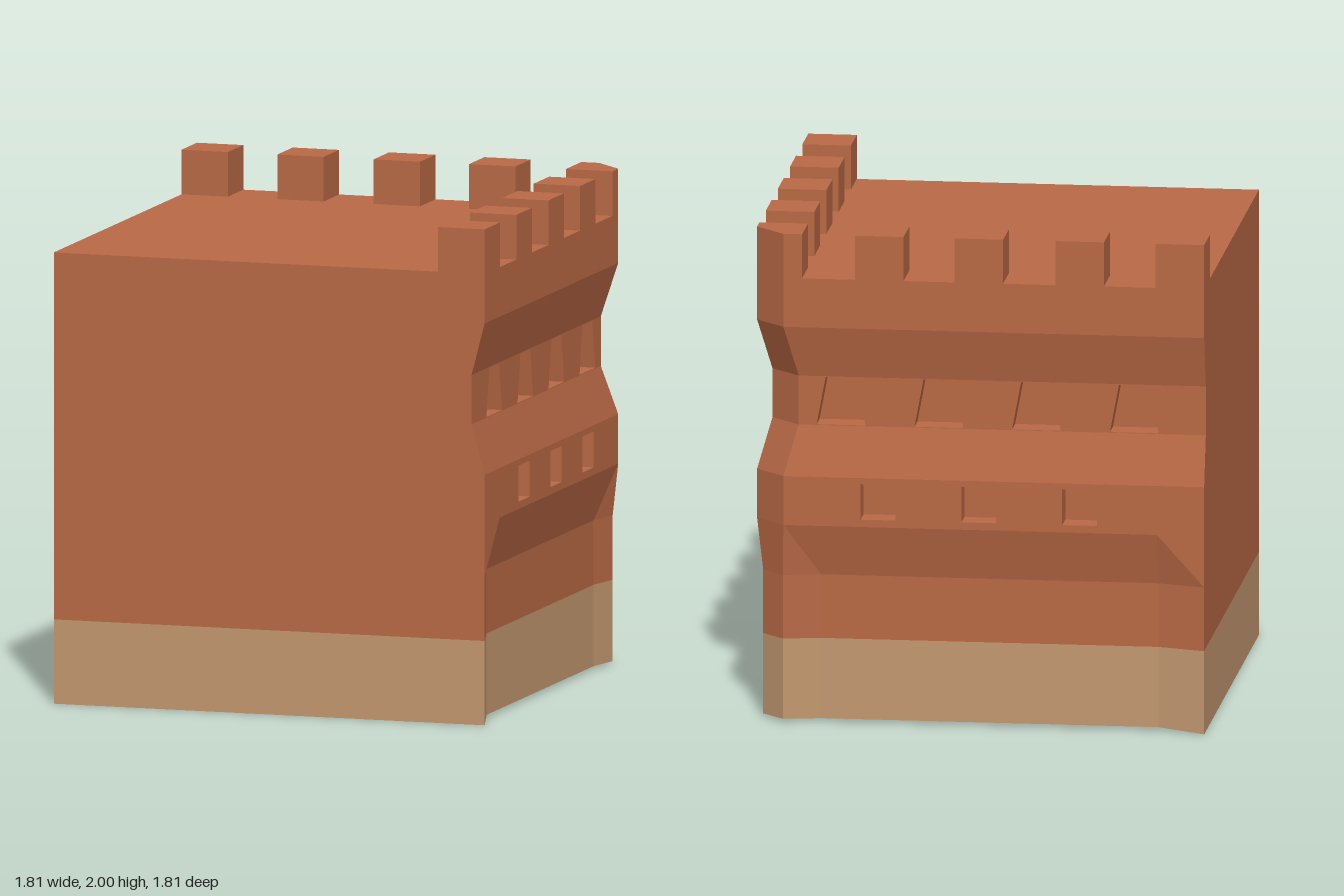
import * as THREE from 'three';

const E = 0.905;      // half width of the block
const DECK = 1.82;    // height of the roof deck
const WINDOW_DEPTH = 0.1;

// Wall cross-sections: depth of middle, depth of free end, end of middle, chamfer position, chamfer depth
const ROWS = [
  { y: 0, mid: 0.85, end: E, uMid: 0.64, uCh: 0.79, dCh: 0.88, lift: 0.012 },
  { y: 0.34, mid: 0.85, end: E, uMid: 0.64, uCh: 0.79, dCh: 0.88 },
  { y: 0.6, mid: 0.85, end: E, uMid: 0.64, uCh: 0.79, dCh: 0.88 },
  { y: 0.81, mid: E, end: E, uMid: 0.7, uCh: 0.785, dCh: E },
  { y: 1.01, mid: E, end: E, uMid: 0.7, uCh: 0.785, dCh: E },
  { y: 1.21, mid: 0.85, end: 0.85, uMid: 0.65, uCh: 0.73, dCh: 0.85 },
  { y: 1.41, mid: 0.85, end: 0.85, uMid: 0.65, uCh: 0.73, dCh: 0.85 },
  { y: 1.62, mid: E, end: E, uMid: 0.7, uCh: 0.785, dCh: E },
  { y: DECK, mid: E, end: E, uMid: 0.7, uCh: 0.785, dCh: E },
];

// Points of one cross-section, from the free end to the chamfer, as [u, y, depth]
const section = (r) => {
  const y = r.y + (r.lift || 0);
  return [[-E, r.y, r.end], [-0.715, y, r.mid], [r.uMid, y, r.mid], [r.uCh, y, r.dCh]];
};

// The two decorated walls mirror each other across the diagonal
const SIDES = [
  { name: 'right', map: ([u, y, d]) => [d, y, -u], flip: false },
  { name: 'back', map: ([u, y, d]) => [u, y, -d], flip: true },
];

// Flat-faced mesh from a list of convex polygons
function polyMesh(name, polys, material, side = { map: (p) => p, flip: false }) {
  const pos = [];
  for (const poly of polys) {
    const p = poly.map(side.map);
    for (let i = 1; i < p.length - 1; i++) {
      pos.push(...p[0], ...(side.flip ? p[i + 1] : p[i]), ...(side.flip ? p[i] : p[i + 1]));
    }
  }
  const g = new THREE.BufferGeometry();
  g.setAttribute('position', new THREE.Float32BufferAttribute(pos, 3));
  g.computeVertexNormals();
  const mesh = new THREE.Mesh(g, material);
  mesh.name = name;
  return mesh;
}

// Window outline: a trapezoid, counter-clockwise in [u, y]
const windowOutline = (u, y0, y1, half0, half1) =>
  [[u - half0, y0], [u + half0, y0], [u + half1, y1], [u - half1, y1]];

// Flat wall strip pierced by windows
function piercedStrip(y0, y1, u1, d, outlines) {
  const contour = [[-E, y0], [u1, y0], [u1, y1], [-E, y1]];
  const toV = (list) => list.map(([a, b]) => new THREE.Vector2(a, b));
  const all = [contour, ...outlines].flat();
  return THREE.ShapeUtils.triangulateShape(toV(contour), outlines.map(toV))
    .map((f) => f.map((i) => [...all[i], d]));
}

// Inner faces and back of a window recess
function recess(outline, d) {
  const inner = d - WINDOW_DEPTH;
  const polys = [outline.map((p) => [...p, inner])];
  outline.forEach((a, i) => {
    const b = outline[(i + 1) % outline.length];
    polys.push([[...a, d], [...b, d], [...b, inner], [...a, inner]]);
  });
  return polys;
}

// Strips of wall between consecutive cross-sections
function wallStrips(from, to, skip = []) {
  const polys = [];
  for (let r = from; r < to; r++) {
    if (skip.includes(r)) continue;
    const a = section(ROWS[r]), b = section(ROWS[r + 1]);
    for (let i = 0; i < 3; i++) polys.push([a[i], a[i + 1], b[i + 1], b[i]]);
  }
  return polys;
}

// Plain outer wall at the free end, following the profile
function endStrips(from, to) {
  const polys = [];
  for (let r = from; r < to; r++) {
    const a = ROWS[r], b = ROWS[r + 1];
    polys.push([[-E, a.y, -E], [-E, a.y, a.end], [-E, b.y, b.end], [-E, b.y, -E]]);
  }
  return polys;
}

// Chamfered corner between the decorated walls
function cornerStrips(from, to) {
  const polys = [];
  for (let r = from; r < to; r++) {
    const a = section(ROWS[r])[3], b = section(ROWS[r + 1])[3];
    const [A, B] = SIDES;
    polys.push([A.map(a), B.map(a), B.map(b), A.map(b)]);
  }
  return polys;
}

export function createModel() {
  const brick = new THREE.MeshStandardMaterial({ color: 0xb96945 });
  brick.name = 'brick';
  const stone = new THREE.MeshStandardMaterial({ color: 0xc2976f });
  stone.name = 'sandstone';

  const model = new THREE.Group();
  model.name = 'castleCornerBlock';
  const top = ROWS.length - 1;

  const squares = [-0.405, 0, 0.405].map((u) => windowOutline(u, 0.84, 0.985, 0.07, 0.07));
  const slits = [-0.618, -0.225, 0.167, 0.56].map((u) => windowOutline(u, 1.213, 1.407, 0.098, 0.062));

  // Walls, plinths and windows on both sides of the diagonal
  for (const side of SIDES) {
    const group = new THREE.Group();
    group.name = side.name + 'Side';
    const brickwork = [
      ...wallStrips(1, top, [3, 5]),
      ...piercedStrip(0.81, 1.01, 0.785, E, squares),
      ...piercedStrip(1.21, 1.41, 0.73, 0.85, slits),
    ];
    group.add(
      polyMesh('plinth', wallStrips(0, 1), stone, side),
      polyMesh('wall', brickwork, brick, side),
      polyMesh('squareWindows', squares.flatMap((o) => recess(o, E)), brick, side),
      polyMesh('taperedWindows', slits.flatMap((o) => recess(o, 0.85)), brick, side),
      polyMesh('plainPlinth', endStrips(0, 1), stone, side),
      polyMesh('plainWall', endStrips(1, top), brick, side),
    );
    // Battlements
    [-0.8075, -0.405, 0, 0.4].forEach((u) => {
      const merlon = new THREE.Mesh(new THREE.BoxGeometry(0.195, 2 - DECK, 0.195), brick);
      merlon.name = 'merlon';
      merlon.position.set(...side.map([u, (2 + DECK) / 2, 0.8075]));
      group.add(merlon);
    });
    model.add(group);
  }

  model.add(
    polyMesh('cornerPlinth', cornerStrips(0, 1), stone),
    polyMesh('cornerWall', cornerStrips(1, top), brick),
  );

  // Corner merlon with its cut edge
  const shapeOf = (pts) => new THREE.Shape(pts.map(([a, b]) => new THREE.Vector2(a, b)));
  const cornerShape = shapeOf([[0.71, 0.71], [E, 0.71], [E, 0.785], [0.785, E], [0.71, E]]);
  const cornerGeo = new THREE.ExtrudeGeometry(cornerShape, { depth: 2 - DECK, bevelEnabled: false });
  const cornerMerlon = new THREE.Mesh(cornerGeo.rotateX(-Math.PI / 2), brick);
  cornerMerlon.name = 'cornerMerlon';
  cornerMerlon.position.y = DECK;

  // Roof deck
  const deckShape = shapeOf([[-E, -E], [E, -E], [E, 0.785], [0.785, E], [-E, E]]);
  const deck = new THREE.Mesh(new THREE.ShapeGeometry(deckShape).rotateX(-Math.PI / 2), brick);
  deck.name = 'roofDeck';
  deck.position.y = DECK;
  model.add(cornerMerlon, deck);

  // Underside, fanned from the plain corner
  const rim = section(ROWS[0]);
  const loop = [[-E, 0, E], ...rim.map(SIDES[0].map), ...rim.map(SIDES[1].map).reverse()];
  model.add(polyMesh('underside', [loop.reverse()], stone));
  // reversed loop starts at the far plain end, so the fan is re-centred below
  const base = model.children[model.children.length - 1];
  model.remove(base);
  model.add(polyMesh('underside', [[loop[loop.length - 1], ...loop.slice(0, -1)]], stone));
  return model;
}
